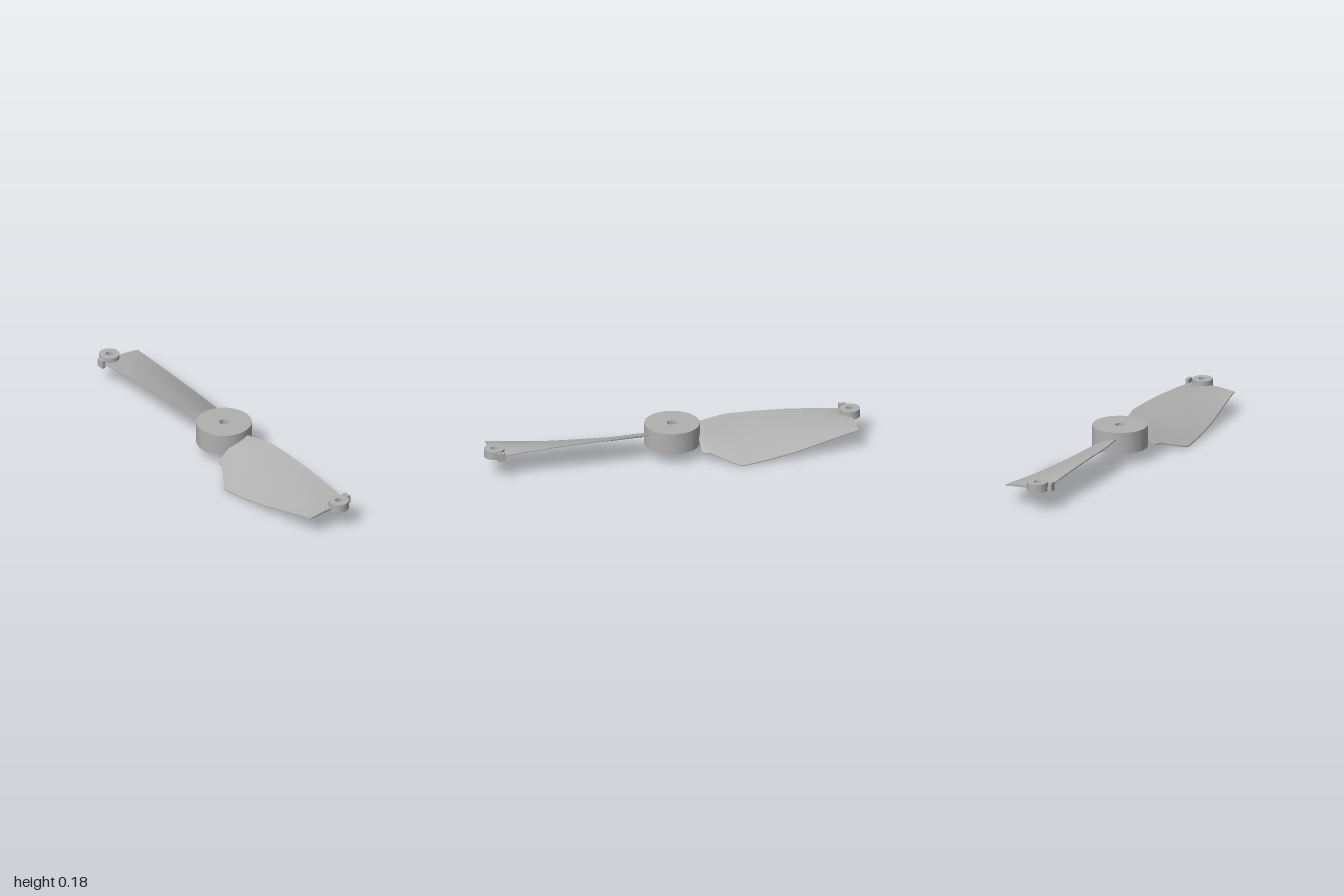
import * as THREE from 'three';
import { toCreasedNormals } from 'three/addons/utils/BufferGeometryUtils.js';

const grey = new THREE.MeshStandardMaterial({ color: 0xb0b0b0 });
grey.name = 'grey plastic';

function part(name, geometry) {
  const mesh = new THREE.Mesh(geometry, grey);
  mesh.name = name;
  return mesh;
}

// Cylinder with a through hole, from y0 to y1
function ring(inner, outer, y0, y1) {
  const profile = [[inner, y0], [outer, y0], [outer, y1], [inner, y1], [inner, y0]]
    .map(([r, y]) => new THREE.Vector2(r, y));
  return toCreasedNormals(new THREE.LatheGeometry(profile, 64), 0.6);
}

const TIP_Z = 0.945;

// Blade stations: z, trailing x, trailing y, leading x, leading y
const stations = [
  [0.125, -0.128, 0.057, 0.038, 0.140],
  [0.135, -0.141, 0.051, 0.045, 0.143],
  [0.165, -0.146, 0.049, 0.051, 0.147],
  [0.200, -0.166, 0.039, 0.058, 0.150],
  [0.250, -0.200, 0.021, 0.068, 0.154],
  [0.300, -0.235, 0.005, 0.077, 0.157],
  [0.330, -0.237, 0.005, 0.078, 0.157],
  [0.450, -0.235, 0.019, 0.077, 0.155],
  [0.600, -0.225, 0.041, 0.073, 0.150],
  [0.800, -0.201, 0.079, 0.064, 0.136],
  [0.900, -0.189, 0.097, 0.059, 0.124],
  [TIP_Z, -0.185, 0.103, 0.057, 0.118],
];

// Cambered blade lofted through the stations, notched around the tip ring
function bladeGeometry() {
  const n = 32, m = 2 * (n + 1);
  const pos = [], index = [];
  for (const [z, x0, y0, x1, y1] of stations) {
    const camber = 0.012 * Math.min(1, (1.05 - z) / 0.4);
    for (let k = 0; k < m; k++) {
      const top = k <= n;
      const u = (top ? k : m - 1 - k) / n;
      const x = THREE.MathUtils.lerp(x0, x1, u);
      const bulge = Math.sin(Math.PI * u);
      const half = 0.003 + 0.004 * bulge;
      const y = THREE.MathUtils.lerp(y0, y1, u) + camber * bulge + (top ? half : -half);
      const notch = TIP_Z - Math.sqrt(Math.max(0, 0.04 ** 2 - x * x));
      pos.push(x, y, Math.min(z, notch));
    }
  }
  const last = (stations.length - 1) * m;
  for (let i = 0; i < last; i += m) {
    for (let k = 0; k < m; k++) {
      const a = i + k, b = i + (k + 1) % m;
      index.push(a, a + m, b, b, a + m, b + m);
    }
  }
  // Root and tip caps
  for (let k = 0; k < n; k++) {
    const t = k, t1 = k + 1, b = m - 1 - k, b1 = m - 2 - k;
    index.push(t, b1, b, t, t1, b1);
    index.push(last + t, last + b, last + b1, last + t, last + b1, last + t1);
  }
  const g = new THREE.BufferGeometry();
  g.setAttribute('position', new THREE.Float32BufferAttribute(pos, 3));
  g.setIndex(index);
  return toCreasedNormals(g, 0.6);
}

export function createModel() {
  const model = new THREE.Group();
  model.name = 'propeller';
  model.add(part('hub', ring(0.025, 0.143, 0.066, 0.18)));

  const blade = bladeGeometry();
  const tipRing = ring(0.019, 0.053, 0.106, 0.15);

  // Two identical arms, half a turn apart
  for (let i = 0; i < 2; i++) {
    const arm = new THREE.Group();
    arm.name = i ? 'backArm' : 'frontArm';
    arm.rotation.y = i * Math.PI;
    arm.add(part('blade', blade));

    const end = part('tipRing', tipRing);
    end.position.z = 0.947;
    arm.add(end);

    // Small block beside the ring, joined by a short tab
    const block = part('tipBlock', new THREE.BoxGeometry(0.02, 0.043, 0.04));
    block.position.set(0.068, 0.1275, 0.925);
    const tab = part('tipTab', new THREE.BoxGeometry(0.02, 0.014, 0.02));
    tab.position.set(0.052, 0.118, 0.93);
    arm.add(block, tab);
    model.add(arm);
  }
  return model;
}
